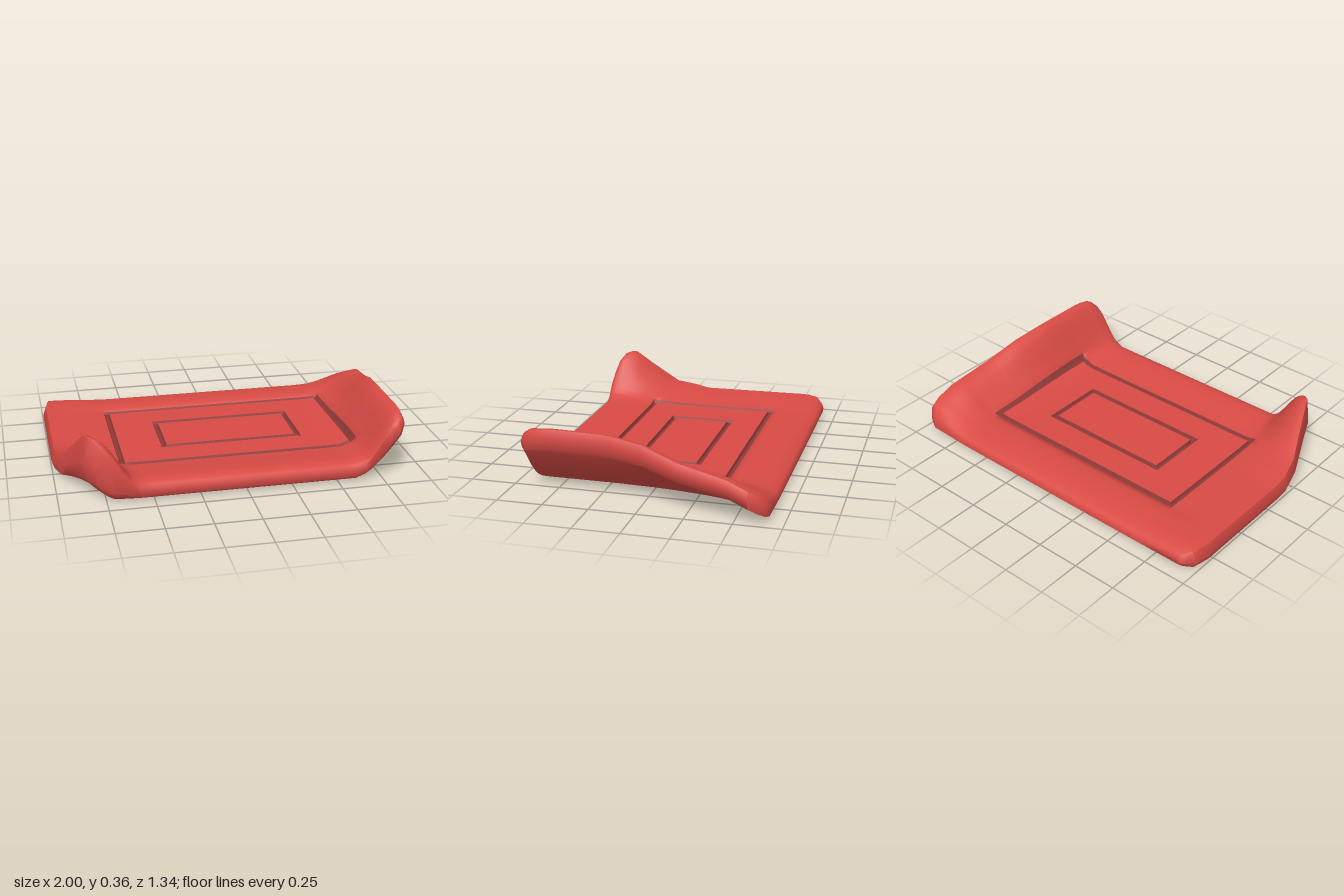
import * as THREE from 'three';
import { toCreasedNormals } from 'three/addons/utils/BufferGeometryUtils.js';

const { lerp, clamp, smoothstep } = THREE.MathUtils;

// piecewise-linear lookup in a list of [z, value]
function along(list, z) {
  for (let i = 1; i < list.length; i++) {
    const [z0, a] = list[i - 1], [z1, b] = list[i];
    if (z <= z1) return a + (b - a) * Math.max(0, (z - z0) / (z1 - z0));
  }
  return list[list.length - 1][1];
}

// outline and rim height of the two upturned sides, and the tray surface between them, from back to front
const rightX = [[-0.67, 0.93], [-0.645, 0.975], [-0.6, 1], [-0.47, 0.985], [-0.2, 0.95], [0, 0.91], [0.2, 0.885], [0.55, 0.88], [0.64, 0.868], [0.67, 0.84]];
const rightY = [[-0.67, 0.09], [-0.645, 0.125], [-0.61, 0.15], [-0.47, 0.21], [-0.2, 0.265], [0, 0.33], [0.2, 0.358], [0.52, 0.362], [0.62, 0.35], [0.67, 0.32]];
const leftX = [[-0.67, 0.92], [-0.62, 0.98], [-0.52, 1], [0.18, 1], [0.3, 0.97], [0.45, 0.91], [0.58, 0.86], [0.64, 0.8], [0.67, 0.73]];
const leftY = [[-0.67, 0.07], [-0.6, 0.1], [0.1, 0.095], [0.3, 0.14], [0.45, 0.26], [0.55, 0.345], [0.6, 0.35], [0.64, 0.31], [0.67, 0.24]];
const trayY = [[-0.67, 0.06], [-0.6, 0.08], [-0.46, 0.092], [-0.4, 0.078], [0.4, 0.078], [0.5, 0.092], [0.6, 0.102], [0.67, 0.095]];

// rectangular grooves pressed into the tray: half sizes about a shared centre
const grooves = [[0.65, 0.373], [0.388, 0.173]];
const grooveX = 0.02, grooveZ = -0.007;
const offsets = [-0.016, -0.01, 0.01, 0.016];

function nearGroove(x, z, reach) {
  return grooves.some(([hx, hz]) => Math.abs(Math.max(Math.abs(x - grooveX) - hx, Math.abs(z - grooveZ) - hz)) < reach);
}

function topY(x, z, edge, rim, power) {
  const base = along(trayY, z);
  const t = clamp((Math.abs(x) - 0.57) / (edge - 0.02 - 0.57), 0, 1);
  const depth = nearGroove(x, z, 0.012) ? 0.015 : 0;
  return base + (rim - base) * Math.pow(smoothstep(t, 0, 0.95), power) - depth;
}

function underY(x, edge, height, start, power) {
  const t = clamp((Math.abs(x) - start) / (edge - start), 0, 1);
  return Math.max(0, height) * Math.pow(t, power);
}

function trayGeometry() {
  // columns and rows follow the grooves
  const columns = [-0.5, -0.2, 0.02, 0.24, 0.54, -0.575, 0.6];
  const rows = [-0.67, -0.655, -0.62, -0.57, -0.52, -0.47, -0.43, -0.28, -0.1, 0, 0.1, 0.24, 0.3, 0.43, 0.47, 0.51, 0.55, 0.58, 0.61, 0.64, 0.658, 0.67];
  for (const [hx, hz] of grooves) {
    for (const o of offsets) {
      columns.push(grooveX + hx + o, grooveX - hx - o);
      rows.push(grooveZ + hz + o, grooveZ - hz - o);
    }
  }
  columns.sort((a, b) => a - b);
  rows.sort((a, b) => a - b);
  const fan = [0.14, 0.28, 0.42, 0.56, 0.7, 0.82, 0.92, 1];
  const n = columns.length + 2 * fan.length;
  const ringSize = 2 * n + 2;
  const pos = [], shell = [], groove = [];

  for (const z of rows) {
    const R = along(rightX, z), RY = along(rightY, z);
    const L = along(leftX, z), LY = along(leftY, z);
    const first = columns[0], last = columns[columns.length - 1];
    const xs = (inset) => [
      ...fan.map((f) => lerp(first, -L + inset, f)).reverse(),
      ...columns,
      ...fan.map((f) => lerp(last, R - inset, f)),
    ];
    const upper = xs(0.02).map((x) => [x, x > 0 ? topY(x, z, R, RY, 1.7) : topY(x, z, L, LY, 1.1)]);
    const lower = xs(0.014).map((x) => [x, x > 0 ? underY(x, R, RY - 0.085, 0.6, 1.6) : underY(x, L, (LY - 0.1) * 0.5, 0.7, 1.8)]);
    // rounded front and back edges
    const pinch = along([[0, 0], [0.63, 0], [0.655, 0.18], [0.67, 0.5]], Math.abs(z));
    for (let j = 0; j < n; j++) {
      const mid = (upper[j][1] + lower[j][1]) / 2;
      upper[j][1] = lerp(upper[j][1], mid, pinch);
      lower[j][1] = lerp(lower[j][1], mid, pinch);
    }
    // widest line: high on the flared right side, low on the inward-leaning left side
    const rightEdge = [R, lerp(lower[n - 1][1], upper[n - 1][1], 0.65)];
    const leftEdge = [-L, lerp(lower[0][1], upper[0][1], 0.4)];
    for (const [x, y] of [...upper, rightEdge, ...lower.reverse(), leftEdge]) pos.push(x, y, z);
  }

  // skin between neighbouring rings
  for (let i = 0; i < rows.length - 1; i++) {
    for (let j = 0; j < ringSize; j++) {
      const k = (j + 1) % ringSize;
      const a = i * ringSize + j, b = i * ringSize + k;
      const c = b + ringSize, d = a + ringSize;
      const x = (pos[3 * a] + pos[3 * b]) / 2, z = (rows[i] + rows[i + 1]) / 2;
      const list = j < n - 1 && nearGroove(x, z, 0.016) ? groove : shell;
      list.push(a, d, c, a, c, b);
    }
  }
  // back and front closing faces
  for (const [start, front] of [[0, false], [(rows.length - 1) * ringSize, true]]) {
    const tri = (a, b, c) => (front ? shell.push(start + a, start + c, start + b) : shell.push(start + a, start + b, start + c));
    for (let j = 0; j < n - 1; j++) {
      tri(j, j + 1, 2 * n - j - 1);
      tri(j, 2 * n - j - 1, 2 * n - j);
    }
    tri(n - 1, n, n + 1);
    tri(0, 2 * n, 2 * n + 1);
  }

  const geometry = new THREE.BufferGeometry();
  geometry.setAttribute('position', new THREE.Float32BufferAttribute(pos, 3));
  geometry.setIndex([...shell, ...groove]);
  geometry.addGroup(0, shell.length, 0);
  geometry.addGroup(shell.length, groove.length, 1);
  return toCreasedNormals(geometry, 1.0);
}

export function createModel() {
  const red = new THREE.MeshStandardMaterial({ color: 0xd94b45 });
  red.name = 'red';
  const darkRed = new THREE.MeshStandardMaterial({ color: 0x8f3a37 });
  darkRed.name = 'dark red';
  const tray = new THREE.Mesh(trayGeometry(), [red, darkRed]);
  tray.name = 'curvedTrayWithGrooves';
  const model = new THREE.Group();
  model.name = 'curvedPad';
  model.add(tray);
  return model;
}
